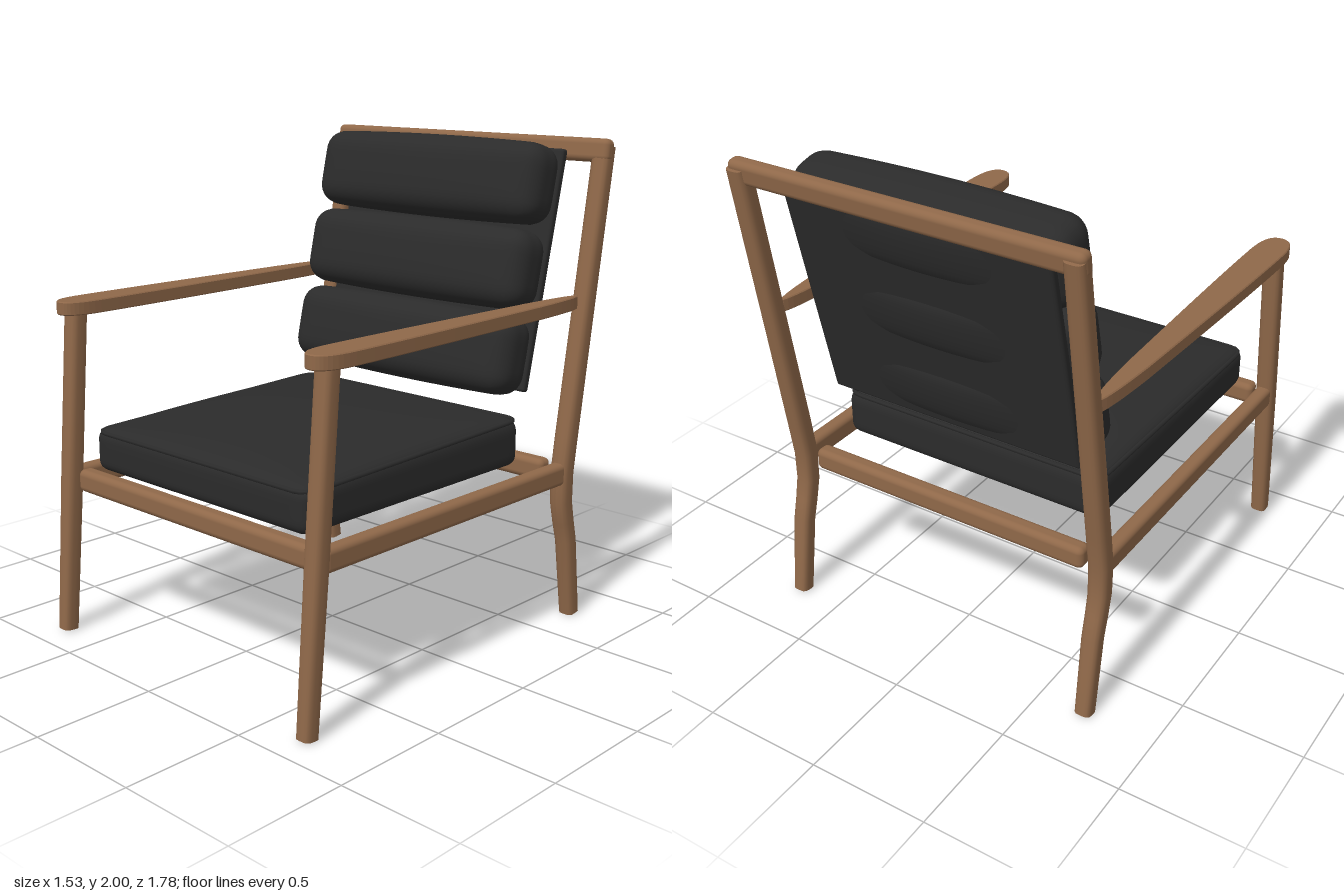
import * as THREE from 'three';
import { mergeVertices } from 'three/addons/utils/BufferGeometryUtils.js';
import { RoundedBoxGeometry } from 'three/addons/geometries/RoundedBoxGeometry.js';

const wood = new THREE.MeshStandardMaterial({ color: 0x8f6849 });
wood.name = 'walnut wood';
const leather = new THREE.MeshStandardMaterial({ color: 0x2b2b2b });
leather.name = 'black leather';

function add(parent, name, geometry, material, x = 0, y = 0, z = 0) {
  const mesh = new THREE.Mesh(geometry, material);
  mesh.name = name;
  mesh.position.set(x, y, z);
  parent.add(mesh);
  return mesh;
}

// Calls rule(vector) on every vertex
function reshape(geometry, rule) {
  const pos = geometry.attributes.position;
  const v = new THREE.Vector3();
  for (let i = 0; i < pos.count; i++) {
    v.fromBufferAttribute(pos, i);
    rule(v);
    pos.setXYZ(i, v.x, v.y, v.z);
  }
  geometry.computeVertexNormals();
  return geometry;
}

// Leg with a soft square section, following [y, z, half width] points upwards
function legGeometry(path) {
  const n = path.length - 1;
  return reshape(new THREE.CylinderGeometry(1, 1, 1, 20, n), (v) => {
    const i = Math.round((v.y + 0.5) * n);
    const [y, z, r] = path[i];
    const a = path[Math.max(i - 1, 0)], b = path[Math.min(i + 1, n)];
    const tilt = Math.atan2(b[1] - a[1], b[0] - a[0]);
    const m = Math.pow(v.x ** 4 + v.z ** 4, 0.25) || 1;
    const sx = (v.x / m) * r, sz = (v.z / m) * r;
    v.set(sx, y - sz * Math.sin(tilt), z + sz * Math.cos(tilt));
  });
}

// Soft box with edge radius r, then swollen by the bulge rule
function cushionGeometry(w, h, d, r, bulge) {
  const box = new THREE.BoxGeometry(2, 2, 2, 24, 16, 24);
  box.deleteAttribute('uv');
  box.deleteAttribute('normal');
  const half = new THREE.Vector3(w / 2, h / 2, d / 2);
  const inner = half.clone().subScalar(r);
  const core = new THREE.Vector3();
  return reshape(mergeVertices(box), (v) => {
    for (const k of ['x', 'y', 'z']) v[k] = Math.sin((v[k] * Math.PI) / 2) * half[k];
    core.copy(v).clamp(inner.clone().negate(), inner);
    v.sub(core);
    if (v.lengthSq() > 0) v.setLength(r);
    v.add(core);
    bulge(v, 1 - (v.x / half.x) ** 2, 1 - (v.z / half.z) ** 2);
  });
}

// Tapered armrest outline, extruded upwards
function armGeometry() {
  const s = new THREE.Shape();
  s.moveTo(0, 0.71);
  s.bezierCurveTo(0.025, 0.69, 0.035, 0.52, 0.042, 0.4);
  s.bezierCurveTo(0.052, 0.1, 0.07, -0.4, 0.07, -0.68);
  s.bezierCurveTo(0.07, -0.79, 0.045, -0.835, 0, -0.835);
  s.bezierCurveTo(-0.045, -0.835, -0.07, -0.79, -0.07, -0.68);
  s.bezierCurveTo(-0.07, -0.4, -0.052, 0.1, -0.042, 0.4);
  s.bezierCurveTo(-0.035, 0.52, -0.025, 0.69, 0, 0.71);
  const g = new THREE.ExtrudeGeometry(s, {
    depth: 0.047, curveSegments: 10, bevelThickness: 0.004, bevelSize: 0.004, bevelOffset: -0.004, bevelSegments: 1,
  });
  return g.rotateX(-Math.PI / 2);
}

// Welt running round the seat edge
function pipingGeometry(w, d, r, height) {
  const pts = [];
  for (let c = 0; c < 4; c++) {
    const sx = c === 0 || c === 3 ? 1 : -1, sz = c < 2 ? 1 : -1;
    for (let k = 0; k <= 6; k++) {
      const a = ((c + k / 6) * Math.PI) / 2;
      const z = sz * (d / 2 - r) + r * Math.sin(a);
      pts.push(new THREE.Vector3(sx * (w / 2 - r) + r * Math.cos(a), height(z), z));
    }
  }
  const path = new THREE.CurvePath();
  pts.forEach((p, i) => path.add(new THREE.LineCurve3(p, pts[(i + 1) % pts.length])));
  return new THREE.TubeGeometry(path, 160, 0.01, 6, true);
}

export function createModel() {
  const model = new THREE.Group();
  model.name = 'lounge chair';

  // Legs, side rails and armrests on both sides
  const frontLeg = legGeometry([[0.004, 0.857, 0.034], [0.65, 0.806, 0.038], [1.335, 0.752, 0.038]]);
  const backLeg = legGeometry([
    [0.004, -0.733, 0.034], [0.34, -0.687, 0.037], [0.43, -0.663, 0.038], [0.52, -0.643, 0.039],
    [0.65, -0.642, 0.04], [0.8, -0.664, 0.04], [1.25, -0.735, 0.039], [1.968, -0.849, 0.038],
  ]);
  for (const [side, sign] of [['left', 1], ['right', -1]]) {
    add(model, side + ' front leg', frontLeg, wood, sign * 0.7);
    add(model, side + ' back leg', backLeg, wood, sign * 0.7);
    add(model, side + ' seat rail', new RoundedBoxGeometry(0.064, 0.093, 1.42, 3, 0.022), wood, sign * 0.7, 0.645, 0.08);
    add(model, side + ' armrest', armGeometry(), wood, sign * 0.695, 1.328, 0);
  }

  // Cross rails
  add(model, 'front rail', new RoundedBoxGeometry(1.31, 0.093, 0.072, 3, 0.025), wood, 0, 0.645, 0.776);
  add(model, 'back rail', new RoundedBoxGeometry(1.26, 0.093, 0.072, 3, 0.025), wood, 0, 0.645, -0.627);
  const topRail = add(model, 'top rail', new RoundedBoxGeometry(1.48, 0.095, 0.064, 3, 0.025), wood, 0, 1.951, -0.838);
  topRail.rotation.x = -0.15;

  // Seat cushion, crowned on top and a little higher at the back
  const seat = cushionGeometry(1.2, 0.185, 1.24, 0.045, (v, fx, fz) => {
    const t = Math.max(0, v.y / 0.0925);
    v.y += t * (0.048 * Math.sqrt(Math.max(0, fx * fz)) - 0.02 * v.z);
  });
  add(model, 'seat cushion', seat, leather, 0, 0.7825, 0.14);
  const piping = pipingGeometry(1.185, 1.225, 0.055, (z) => 0.868 - 0.025 * z);
  add(model, 'seat piping', piping, leather, 0, 0, 0.14);

  // Reclined backrest: thin panel with three padded rolls
  const back = new THREE.Group();
  back.name = 'backrest';
  back.position.set(0, 1.465, -0.667);
  back.rotation.x = -0.225;
  model.add(back);
  add(back, 'back panel', new RoundedBoxGeometry(1.13, 1, 0.036, 2, 0.012), leather, 0, 0, 0);
  const roll = cushionGeometry(1.18, 0.32, 0.215, 0.085, (v, fx) => {
    const ny = v.y / 0.16, nz = v.z / 0.1075;
    v.y *= 1 + 0.07 * fx;
    v.z += nz * fx * (nz < 0 ? 0.05 : 0.025) * (1 - 0.5 * ny * ny);
  });
  ['lower', 'middle', 'upper'].forEach((name, i) => {
    add(back, name + ' back roll', roll, leather, 0, (i - 1) * 0.349 - 0.012, 0.125);
  });
  return model;
}
